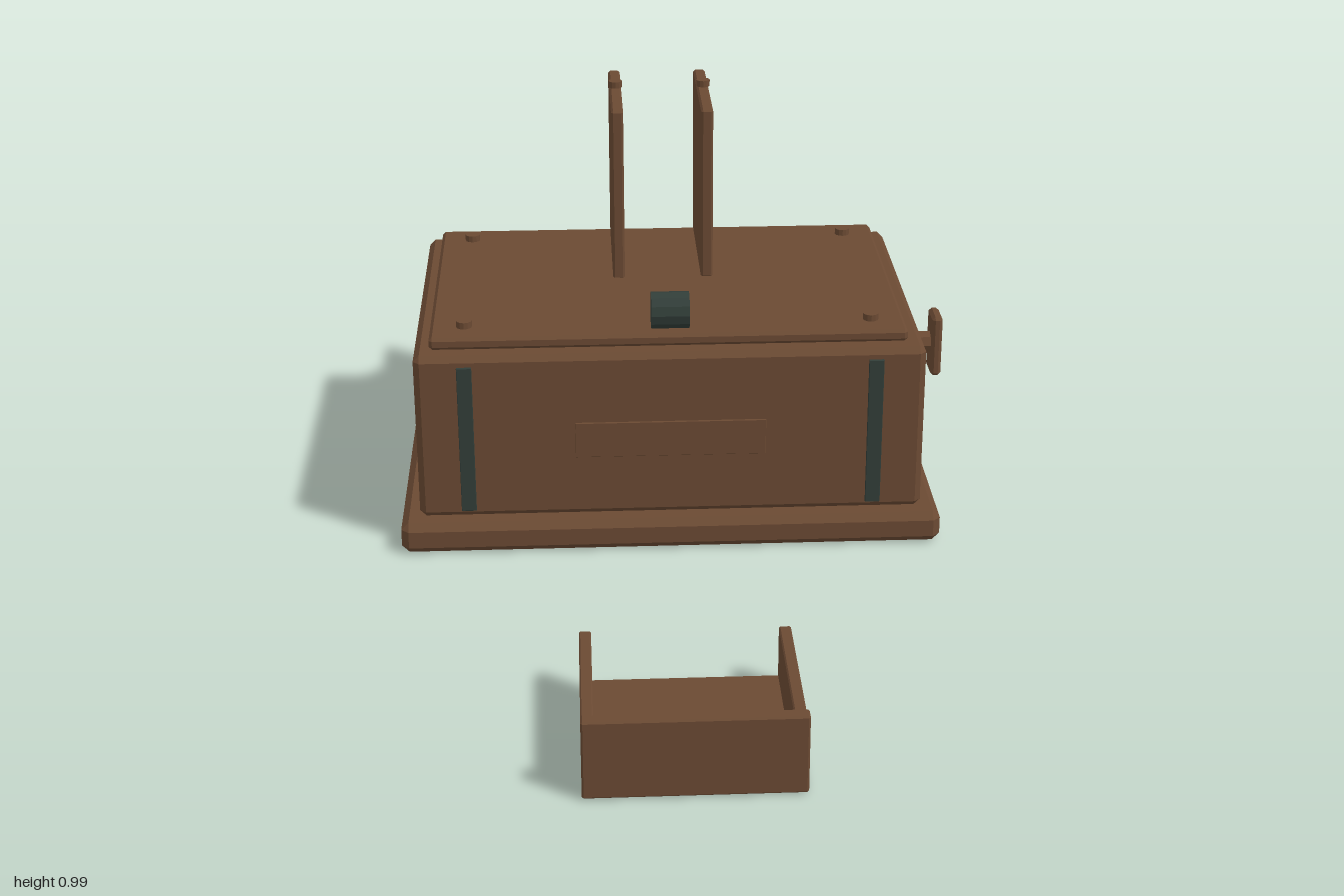
import * as THREE from 'three';
import { ConvexGeometry } from 'three/addons/geometries/ConvexGeometry.js';

const wood = new THREE.MeshStandardMaterial({ color: 0x6b4a33, flatShading: true });
wood.name = 'brown wood';
const iron = new THREE.MeshStandardMaterial({ color: 0x323e39, flatShading: true });
iron.name = 'dark green iron';

// Box given by its limits, with every edge chamfered by c
function block(name, [x0, x1], [y0, y1], [z0, z1], c = 0.004, material = wood) {
  const half = [(x1 - x0) / 2, (y1 - y0) / 2, (z1 - z0) / 2];
  const points = [];
  for (const sx of [-1, 1]) for (const sy of [-1, 1]) for (const sz of [-1, 1]) {
    const signs = [sx, sy, sz];
    for (let axis = 0; axis < 3; axis++) {
      points.push(new THREE.Vector3(...signs.map((s, i) => s * (half[i] - (i === axis ? 0 : c)))));
    }
  }
  const mesh = new THREE.Mesh(new ConvexGeometry(points), material);
  mesh.position.set((x0 + x1) / 2, (y0 + y1) / 2, (z0 + z1) / 2);
  mesh.name = name;
  return mesh;
}

// Short round part, upright or lying along x
function round(name, radius, length, [x, y, z], sides = 12, alongX = false, material = wood) {
  const geometry = new THREE.CylinderGeometry(radius, radius, length, sides);
  if (alongX) geometry.rotateZ(Math.PI / 2);
  const mesh = new THREE.Mesh(geometry, material);
  mesh.position.set(x, y, z);
  mesh.name = name;
  return mesh;
}

export function createModel() {
  const model = new THREE.Group();
  model.name = 'woodenBox';

  // Plinth, chest and lid
  model.add(
    block('plinth', [-0.69, 0.62], [0, 0.078], [-1, -0.07], 0.018),
    block('chest', [-0.645, 0.575], [0.078, 0.498], [-0.95, -0.112], 0.015),
    block('lid', [-0.608, 0.535], [0.498, 0.529], [-0.915, -0.155], 0.008)
  );

  // Lid studs
  for (const x of [-0.526, 0.453]) for (const z of [-0.84, -0.23]) {
    model.add(round('lidStud', 0.019, 0.018, [x, 0.536, z]));
  }

  // Upright boards with a small pin above each
  for (const x of [-0.147, 0.075]) {
    model.add(
      block('uprightBoard', [x - 0.015, x + 0.015], [0.525, 0.965], [-0.912, -0.54], 0.005),
      round('boardPin', 0.017, 0.016, [x, 0.982, -0.725])
    );
  }

  // Front straps, drawer plate and roller
  for (const x of [-0.525, 0.455]) {
    model.add(block('frontStrap', [x - 0.018, x + 0.018], [0.098, 0.472], [-0.114, -0.105], 0.001, iron));
  }
  model.add(
    block('drawerPlate', [-0.265, 0.193], [0.234, 0.323], [-0.115, -0.107], 0.001),
    round('roller', 0.044, 0.09, [-0.036, 0.6, -0.135], 12, true, iron)
  );

  // Side panel with its turning handle
  model.add(
    block('sidePanel', [0.572, 0.581], [0.155, 0.434], [-0.81, -0.255], 0.001),
    round('handleShaft', 0.03, 0.09, [0.62, 0.308, -0.61], 8, true),
    block('handleBar', [0.662, 0.689], [0.227, 0.39], [-0.652, -0.568], 0.008)
  );

  // Loose drawer, open at the back
  const drawer = new THREE.Group();
  drawer.name = 'drawer';
  drawer.add(
    block('drawerFloor', [-0.262, 0.188], [0.004, 0.026], [0.577, 0.985], 0.003),
    block('drawerFront', [-0.265, 0.191], [0.003, 0.181], [0.968, 1], 0.004)
  );
  for (const x of [-0.265, 0.165]) {
    drawer.add(block('drawerSide', [x, x + 0.026], [0, 0.146], [0.575, 0.975], 0.003));
  }
  model.add(drawer);
  return model;
}
